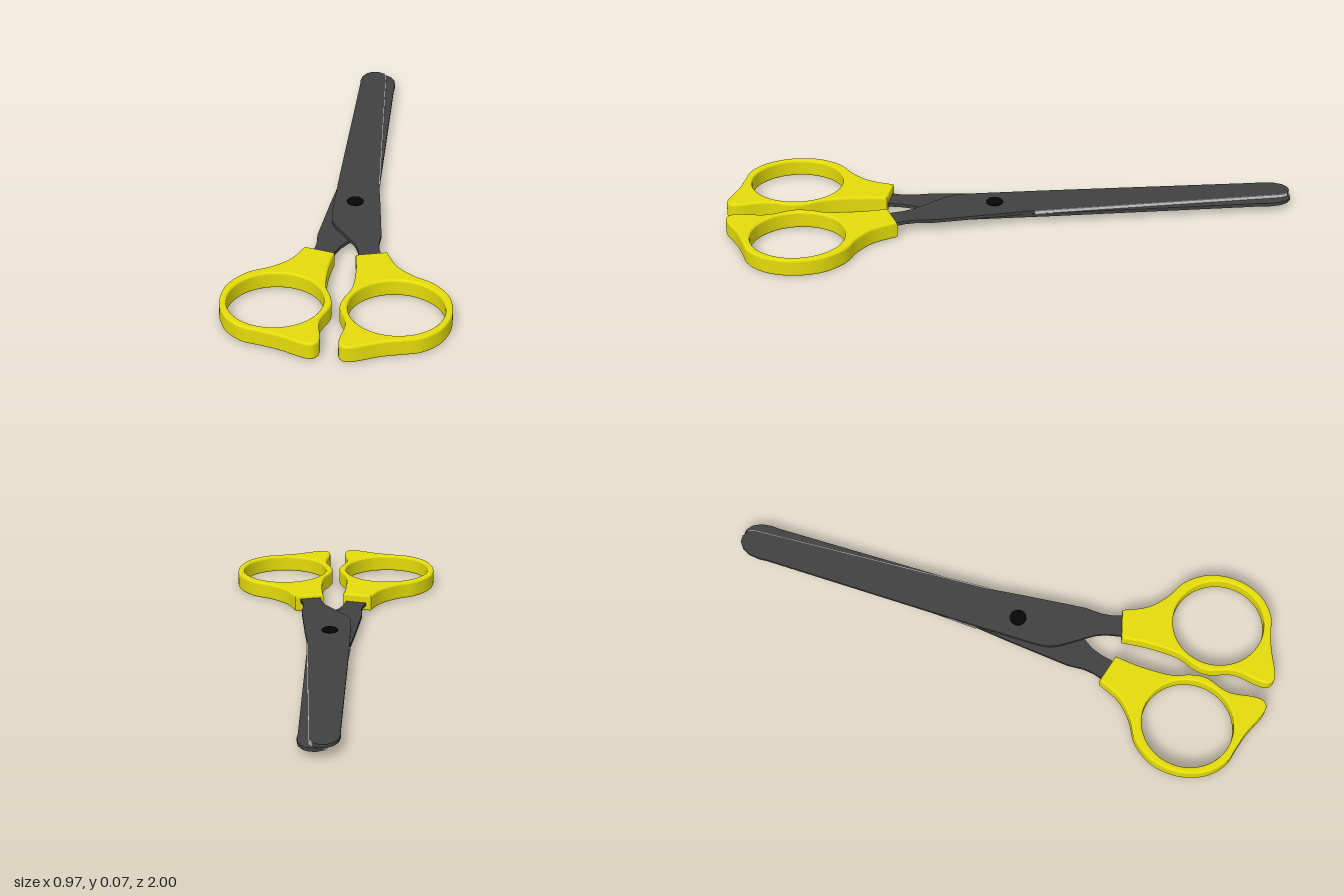
import * as THREE from 'three';
import { toCreasedNormals } from 'three/addons/utils/BufferGeometryUtils.js';

const PIVOT = new THREE.Vector2(0.11, 0.05);
const AXIS = new THREE.Vector2(-Math.sin(0.297), Math.cos(0.297)); // closed-blade centre line

const steel = new THREE.MeshStandardMaterial({ color: 0x414141 });
const edgeSteel = new THREE.MeshStandardMaterial({ color: 0xcccccc });
const plastic = new THREE.MeshStandardMaterial({ color: 0xe4dc0a });
const rivetBlack = new THREE.MeshStandardMaterial({ color: 0x060606 });

const toPoints = (list) => list.map(([x, z]) => new THREE.Vector2(x, z));

// Mirror a plan point across the centre line through the pivot
function mirror(p) {
  const v = p.clone().sub(PIVOT);
  return AXIS.clone().multiplyScalar(2 * v.dot(AXIS)).sub(v).add(PIVOT);
}

// Outlines and holes all run counter-clockwise so every wall faces outward
const counterClockwise = (points) => (THREE.ShapeUtils.isClockWise(points) ? points.reverse() : points);

// Extrude a plan outline (x, z) between two heights, with optional rounded edges
function slab(name, outline, holes, bottom, top, bevel, material) {
  const shape = new THREE.Shape(counterClockwise(outline));
  shape.holes = holes.map((hole) => new THREE.Path(counterClockwise(hole)));
  const geometry = new THREE.ExtrudeGeometry(shape, {
    depth: top - bottom - 2 * bevel,
    bevelEnabled: bevel > 0,
    bevelSize: bevel,
    bevelThickness: bevel,
    bevelOffset: -bevel,
    bevelSegments: 3,
  });
  geometry.rotateX(Math.PI / 2).translate(0, top - bevel, 0);
  const mesh = new THREE.Mesh(toCreasedNormals(geometry, 0.25), material);
  mesh.name = name;
  return mesh;
}

// Plan of one blade with its tang
const bladeOutline = toPoints([
  [0.125, 0.5], [0.125, 0.4], [0.132, 0.36], [0.154, 0.3], [0.176, 0.19], [0.198, 0.08],
  [0.224, -0.06], [0.446, -0.95], [0.443, -0.975], [0.425, -0.994], [0.402, -1.0],
  [0.376, -0.991], [0.352, -0.967], [0.334, -0.928], [0.328, -0.9],
  [0.092, -0.155], [0.008, 0.12], [0.0, 0.16], [0.003, 0.2], [0.035, 0.3],
  [0.047, 0.34], [0.05, 0.38], [0.045, 0.44], [0.045, 0.5],
]);

// Bright ground strip along the cutting edge
const edgeOutline = toPoints([
  [0.222, -0.06], [0.228, -0.06], [0.45, -0.952], [0.447, -0.976], [0.441, -0.976], [0.444, -0.95],
]);

// Plan of one finger loop: straight neck end, smooth loop, pointed spur
const loopOutline = new THREE.SplineCurve(toPoints([
  [0.145, 0.438], [0.158, 0.53], [0.2, 0.605], [0.258, 0.668], [0.288, 0.745], [0.287, 0.815],
  [0.262, 0.889], [0.209, 0.954], [0.138, 0.988], [0.07, 0.988], [0, 0.987], [-0.1, 0.998],
  [-0.133, 0.98], [-0.13, 0.94], [-0.09, 0.85], [-0.09, 0.755], [-0.067, 0.7],
  [-0.024, 0.64], [0.013, 0.53], [0.032, 0.434],
])).getPoints(152);

const loopHole = new THREE.EllipseCurve(0.098, 0.793, 0.165, 0.169).getPoints(56).slice(0, -1);

// One half of the scissors: blade, bright edge and finger loop
function half(name, place, bladeY, loopY) {
  const group = new THREE.Group();
  group.name = name;
  group.add(
    slab('blade', bladeOutline.map(place), [], bladeY, bladeY + 0.0125, 0, steel),
    slab('cuttingEdge', edgeOutline.map(place), [], bladeY + 0.0002, bladeY + 0.0123, 0, edgeSteel),
    slab('fingerLoop', loopOutline.map(place), [loopHole.map(place)], loopY, loopY + 0.063, 0.008, plastic),
  );
  return group;
}

export function createModel() {
  const model = new THREE.Group();
  model.name = 'scissors';

  model.add(half('upperHalf', (p) => p.clone(), 0.037, 0));
  model.add(half('lowerHalf', mirror, 0.0235, 0.004));

  // Rivet with a slightly domed head
  const rivet = new THREE.Mesh(
    toCreasedNormals(new THREE.LatheGeometry(toPoints([
      [0, 0.016], [0.028, 0.016], [0.03, 0.019], [0.03, 0.054], [0.026, 0.058], [0.014, 0.0605], [0, 0.061],
    ]), 32), 0.6),
    rivetBlack,
  );
  rivet.name = 'rivet';
  rivet.position.set(PIVOT.x, 0, PIVOT.y);
  model.add(rivet);

  return model;
}
